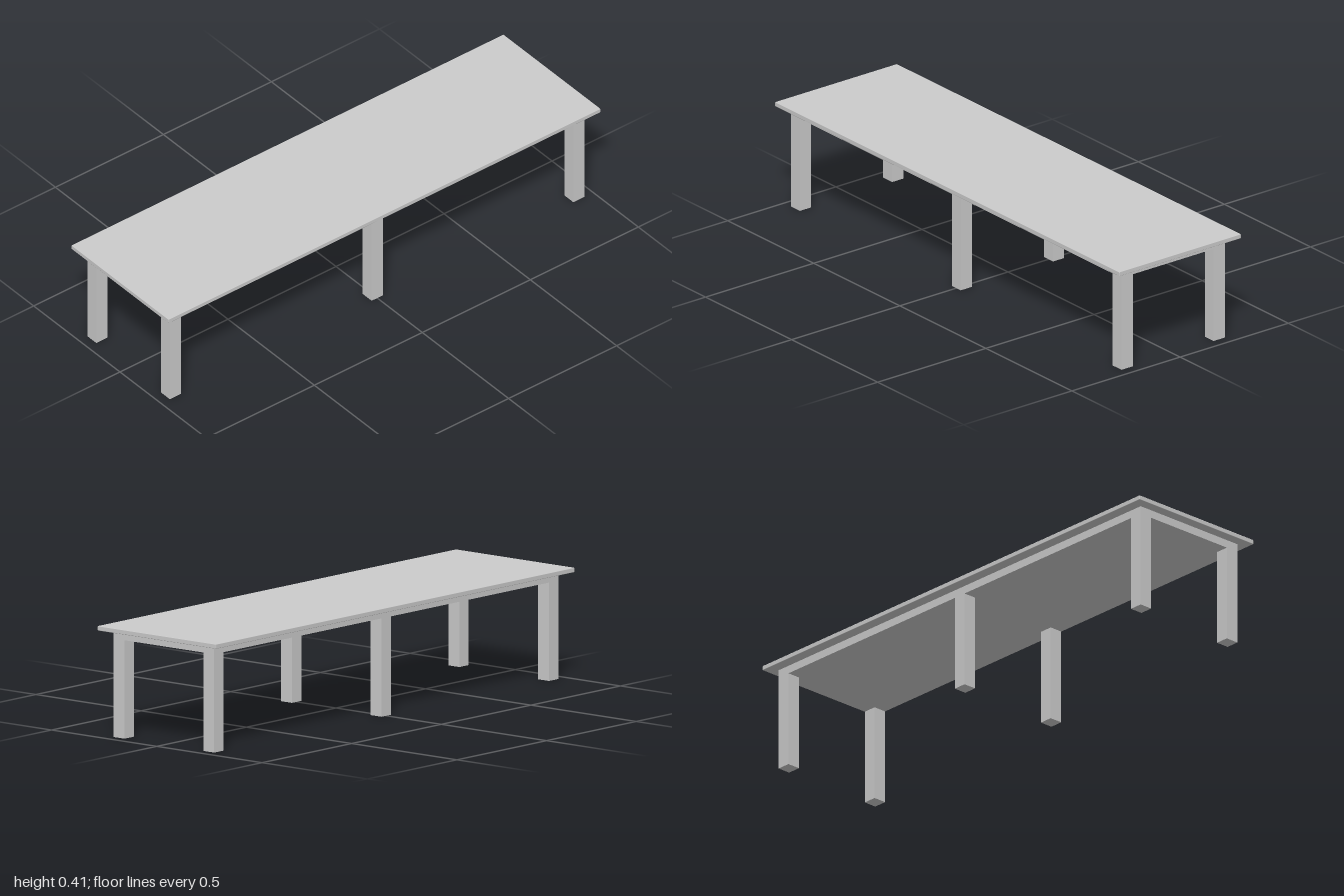
import * as THREE from 'three';
import { RoundedBoxGeometry } from 'three/addons/geometries/RoundedBoxGeometry.js';

export function createModel() {
  const group = new THREE.Group();
  const material = new THREE.MeshStandardMaterial({ color: 0xcccccc });
  const add = (name, geometry, x, y, z) => {
    const mesh = new THREE.Mesh(geometry, material);
    mesh.name = name;
    mesh.position.set(x, y, z);
    group.add(mesh);
  };

  const top = 0.409, topThickness = 0.017;
  const frameTop = top - topThickness, frameBottom = 0.362;
  const halfX = 0.239, halfZ = 0.96, leg = 0.052;

  // Thin top with barely softened edges, overhanging the frame all round
  add('tableTop', new RoundedBoxGeometry(0.563, topThickness, 2, 1, 0.002), 0, top - topThickness / 2, 0);

  // Solid frame block under the top
  add('frame', new THREE.BoxGeometry(halfX * 2, frameTop - frameBottom, halfZ * 2), 0, (frameTop + frameBottom) / 2, 0);

  // Three pairs of square legs, flush with the frame's sides
  const legGeometry = new THREE.BoxGeometry(leg, frameBottom, leg);
  const rows = { front: halfZ - leg / 2, middle: 0, back: -halfZ + leg / 2 };
  for (const [row, z] of Object.entries(rows)) {
    for (const side of [1, -1]) {
      add(`${row}${side > 0 ? 'Left' : 'Right'}Leg`, legGeometry, side * (halfX - leg / 2), frameBottom / 2, z);
    }
  }
  return group;
}
